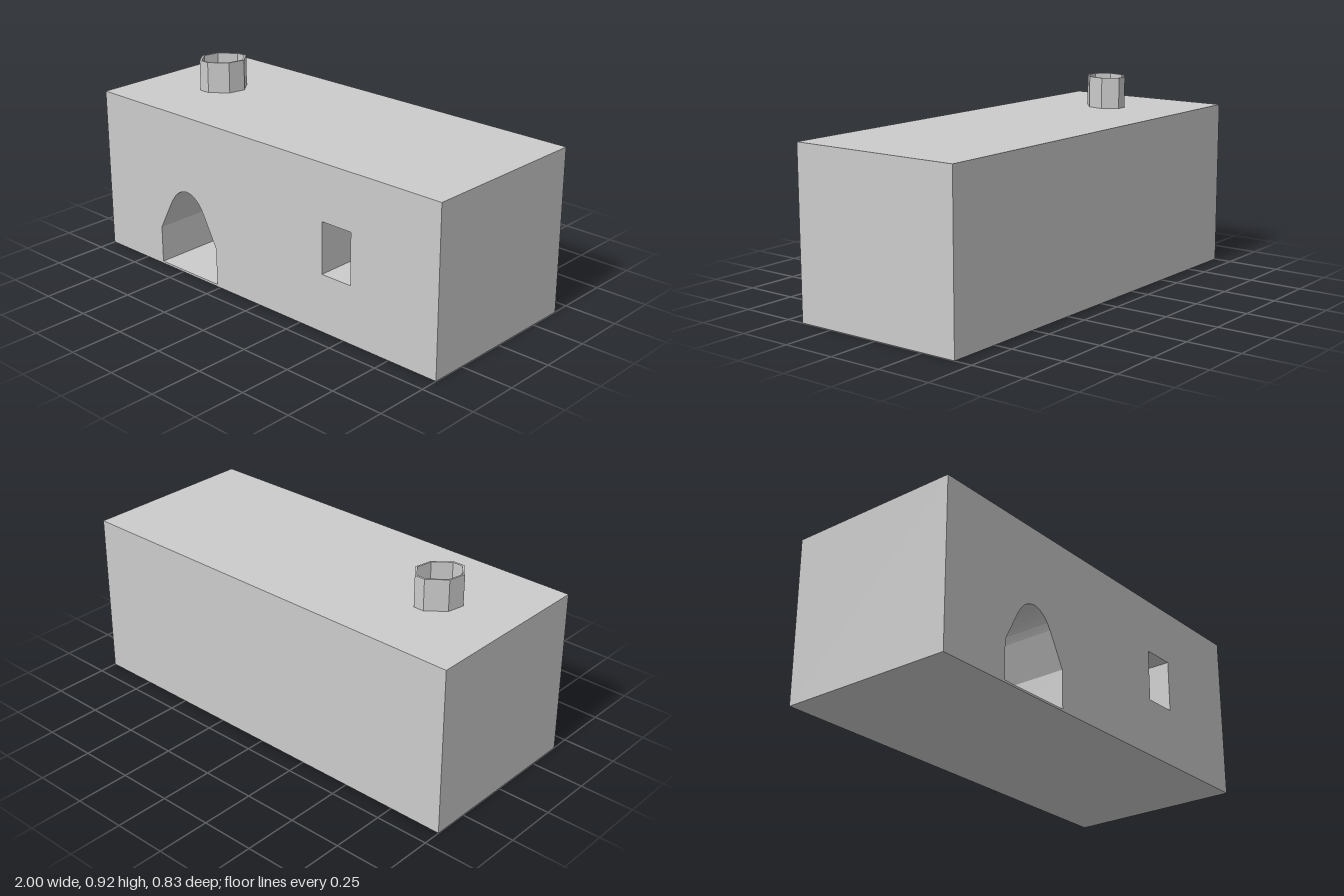
import * as THREE from 'three';

const W = 2, H = 0.77, D = 0.83, FRONT = D / 2, RECESS = 0.38;
const toPoints = (list) => list.map(([x, y]) => new THREE.Vector2(x, y));

// Walls running along z around a counter-clockwise outline, facing out or in.
function band(points, zBack, zFront, inward) {
  const pos = [];
  points.forEach((p, i) => {
    const q = points[(i + 1) % points.length];
    const [a, b] = inward ? [q, p] : [p, q];
    pos.push(a.x, a.y, zFront, a.x, a.y, zBack, b.x, b.y, zBack);
    pos.push(a.x, a.y, zFront, b.x, b.y, zBack, b.x, b.y, zFront);
  });
  const g = new THREE.BufferGeometry();
  g.setAttribute('position', new THREE.Float32BufferAttribute(pos, 3));
  g.computeVertexNormals();
  return g;
}

export function createModel() {
  const group = new THREE.Group();
  const material = new THREE.MeshStandardMaterial({ color: 0xcccccc, flatShading: true });
  const add = (name, geometry, parent = group) => {
    const mesh = new THREE.Mesh(geometry, material);
    mesh.name = name;
    parent.add(mesh);
    return mesh;
  };

  // Outlines of the house, doorway and window
  const house = toPoints([[-W / 2, 0], [W / 2, 0], [W / 2, H], [-W / 2, H]]);
  const arch = new THREE.SplineCurve(toPoints([
    [-0.35, 0.335], [-0.38, 0.375], [-0.415, 0.4], [-0.455, 0.41],
    [-0.495, 0.4], [-0.53, 0.375], [-0.56, 0.335],
  ])).getPoints(18);
  const door = [
    ...toPoints([[-0.64, 0.01], [-0.27, 0.01], [-0.27, 0.185]]),
    ...arch,
    new THREE.Vector2(-0.64, 0.185),
  ];
  const pane = toPoints([[0.38, 0.27], [0.54, 0.27], [0.54, 0.51], [0.38, 0.51]]);

  // Side walls, roof and floor
  add('outerWalls', band(house, -FRONT, FRONT, false));

  // Front wall with both openings
  const frontShape = new THREE.Shape(house);
  frontShape.holes.push(new THREE.Path(door), new THREE.Path(pane));
  add('frontWall', new THREE.ShapeGeometry(frontShape).translate(0, 0, FRONT));

  // Back wall
  add('backWall', new THREE.PlaneGeometry(W, H).rotateY(Math.PI).translate(0, H / 2, -FRONT));

  // Recesses behind the openings
  for (const [name, outline] of [['doorway', door], ['window', pane]]) {
    const recess = new THREE.Group();
    recess.name = name;
    add(name + 'Sides', band(outline, FRONT - RECESS, FRONT, true), recess);
    add(name + 'Back', new THREE.ShapeGeometry(new THREE.Shape(outline))
      .translate(0, 0, FRONT - RECESS), recess);
    group.add(recess);
  }

  // Slightly skewed eight-sided chimney pipe, open at the top
  const cx = -0.638;
  const ring = toPoints([
    [-0.54, 0.04], [-0.59, 0.104], [-0.64, 0.104], [-0.72, 0.04],
    [-0.736, -0.04], [-0.686, -0.104], [-0.632, -0.104], [-0.556, -0.04],
  ]);
  const pipe = new THREE.Shape(ring);
  pipe.holes.push(new THREE.Path(ring.map(
    (p) => new THREE.Vector2(cx + (p.x - cx) * 0.91, p.y * 0.91))));
  const chimney = new THREE.ExtrudeGeometry(pipe, { depth: 0.145, bevelEnabled: false });
  add('chimney', chimney.rotateX(-Math.PI / 2).translate(0, H, 0));

  return group;
}
